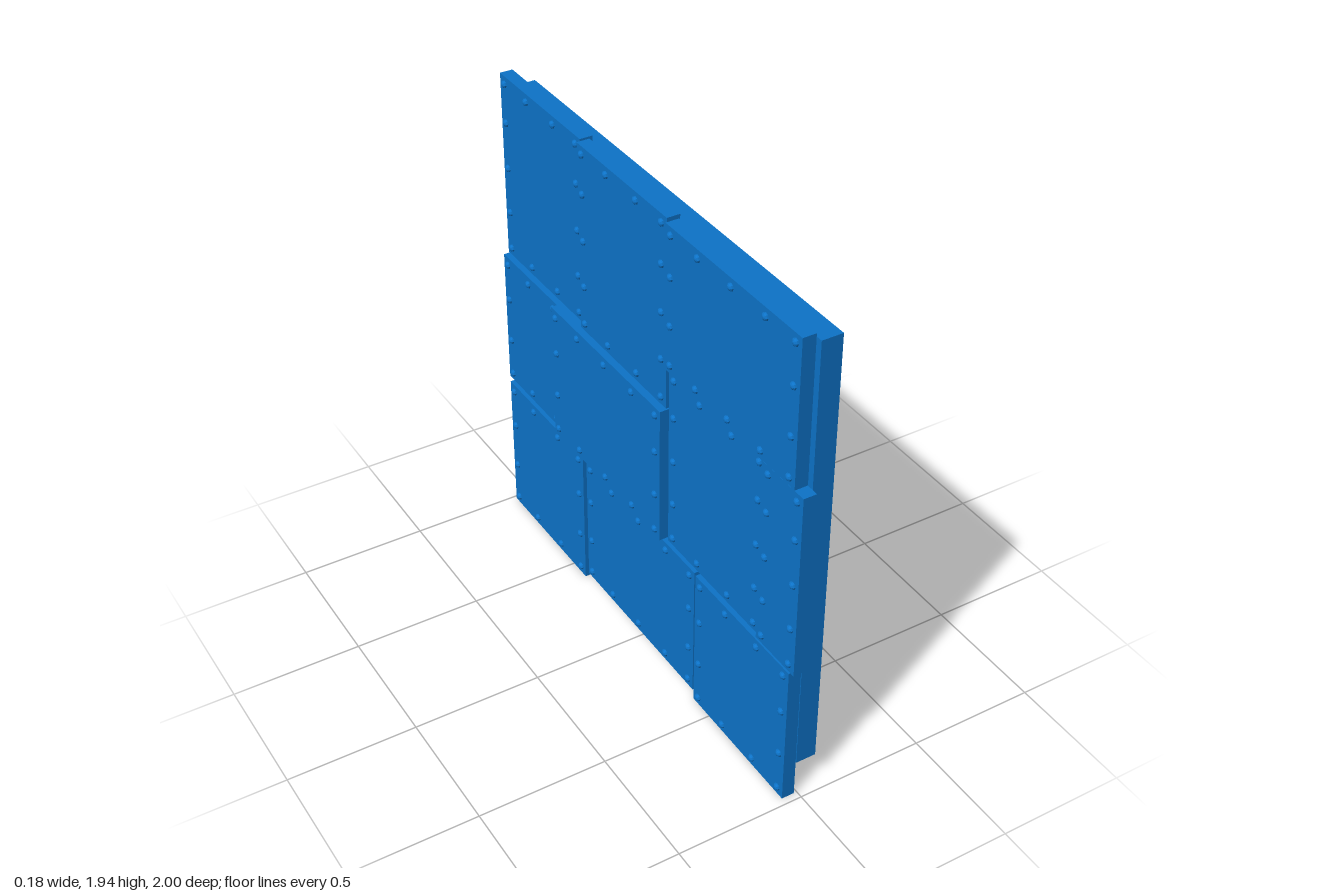
import * as THREE from 'three';

const blue = new THREE.MeshStandardMaterial({ color: 0x0d73c8, flatShading: true });

// Box given by its limits on each axis
function slab(name, x0, x1, y0, y1, z0, z1) {
  const mesh = new THREE.Mesh(new THREE.BoxGeometry(x1 - x0, y1 - y0, z1 - z0), blue);
  mesh.position.set((x0 + x1) / 2, (y0 + y1) / 2, (z0 + z1) / 2);
  mesh.name = name;
  return mesh;
}

// Rivet positions along one edge: near both corners, evenly stepped between
function edgeStops(a, b, inset = 0.032) {
  const n = Math.round((b - a) / 0.19);
  return Array.from({ length: n + 1 }, (_, i) =>
    Math.min(Math.max(a + ((b - a) * i) / n, a + inset), b - inset));
}

// Domed rivet head facing -x
const rivetGeometry = new THREE.SphereGeometry(0.015, 8, 4, 0, Math.PI * 2, 0, Math.PI / 2);
rivetGeometry.scale(1, 0.8, 1).rotateZ(Math.PI / 2);

// Thin plate with rivets all round the edge of its outer face
function rivetedPlate(name, x, y0, y1, z0, z1, thickness = 0.05) {
  const group = new THREE.Group();
  group.name = name;
  group.add(slab('plate', x, x + thickness, y0, y1, z0, z1));
  const ys = edgeStops(y0, y1), zs = edgeStops(z0, z1);
  ys.forEach((y, i) => zs.forEach((z, j) => {
    const onEdge = i === 0 || i === ys.length - 1 || j === 0 || j === zs.length - 1;
    if (!onEdge) return;
    const rivet = new THREE.Mesh(rivetGeometry, blue);
    rivet.position.set(x, y, z);
    rivet.name = 'rivet';
    group.add(rivet);
  }));
  return group;
}

export function createModel() {
  const model = new THREE.Group();
  model.name = 'rivetedWallPanel';

  // Plain backing wall
  model.add(slab('backingWall', 0.01, 0.09, 0.115, 1.88, -0.972, 0.946));

  // Patchwork of plates: name, outer x, y range, z range
  const plates = [
    ['topRearPlate', -0.04, 1.187, 1.935, -0.99, -0.41],
    ['topMiddlePlate', -0.06, 1.187, 1.935, -0.397, 0.187],
    ['topFrontPlate', -0.07, 1.36, 1.925, 0.195, 0.96],
    ['middleRearPlate', -0.056, 0.61, 1.175, -1.0, -0.42],
    ['middleRaisedPlate', -0.08, 0.61, 1.175, -0.585, 0.18],
    ['middleInnerPlate', -0.05, 0.605, 1.35, 0.19, 0.77, 0.045],
    ['middleFrontPlate', -0.063, 0.605, 1.35, 0.775, 1.0],
    ['bottomRearPlate', -0.062, 0, 0.593, -0.987, -0.407],
    ['bottomMiddlePlate', -0.06, 0.035, 0.597, -0.383, 0.383],
    ['bottomFrontPlate', -0.062, 0, 0.593, 0.393, 0.972],
  ];
  plates.forEach((p) => model.add(rivetedPlate(...p)));
  return model;
}
